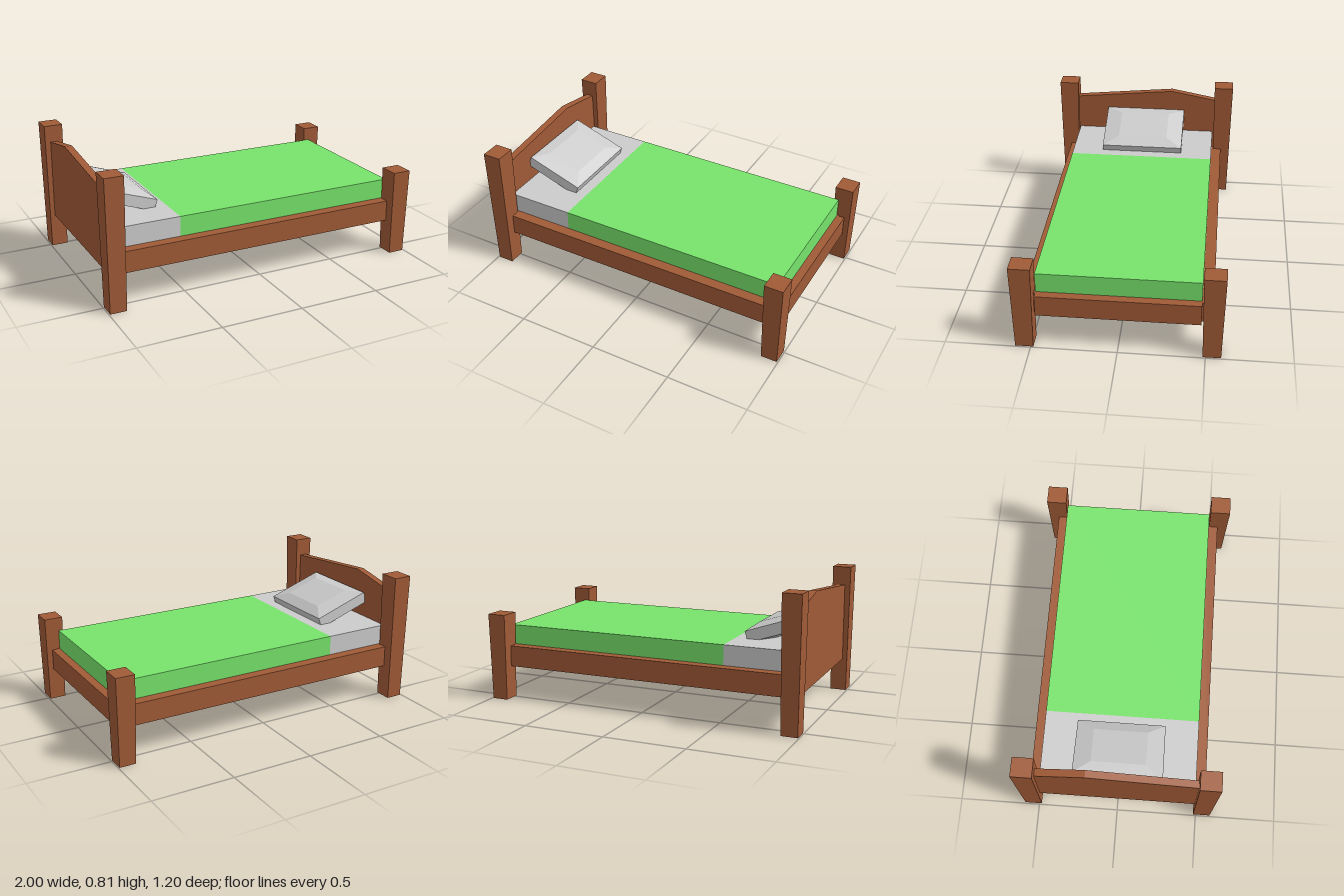
import * as THREE from 'three';

const material = (color) => new THREE.MeshStandardMaterial({ color, flatShading: true });

export function createModel() {
  const bed = new THREE.Group();
  bed.name = 'bed';
  const wood = material(0xa05a36);
  const blanketGreen = material(0x77e36b);
  const linen = material(0xcccccc);

  const add = (name, geometry, mat) => {
    const mesh = new THREE.Mesh(geometry, mat);
    mesh.name = name;
    bed.add(mesh);
    return mesh;
  };

  // Box given by its limits on each axis
  const addBox = (name, mat, [x0, x1], [y0, y1], [z0, z1]) => {
    const box = new THREE.BoxGeometry(x1 - x0, y1 - y0, z1 - z0);
    box.translate((x0 + x1) / 2, (y0 + y1) / 2, (z0 + z1) / 2);
    return add(name, box, mat);
  };

  // Scale x and z of every vertex by a rule depending on its height
  const reshape = (geometry, rule) => {
    const p = geometry.attributes.position;
    for (let i = 0; i < p.count; i++) {
      const [sx, y, sz] = rule(p.getY(i));
      p.setXYZ(i, p.getX(i) * sx, y, p.getZ(i) * sz);
    }
    geometry.computeVertexNormals();
    return geometry;
  };

  // Four posts, slightly narrower at the floor, taller at the head
  const addPost = (name, height, x, z) => {
    const post = new THREE.BoxGeometry(0.115, height, 0.125);
    post.translate(0, height / 2, 0);
    reshape(post, (y) => (y < 0.01 ? [0.87, y, 0.84] : [1, y, 1]));
    add(name, post, wood).position.set(x, 0, z);
  };
  for (const side of [-1, 1]) {
    const label = side > 0 ? 'Front' : 'Back';
    addPost('headPost' + label, 0.805, -0.9425, side * 0.5375);
    addPost('footPost' + label, 0.54, 0.9425, side * 0.5375);
    // Side rails between the posts
    const z = side > 0 ? [0.47, 0.535] : [-0.535, -0.47];
    addBox('sideRail' + label, wood, [-0.93, 0.93], [0.205, 0.335], z);
  }

  // Bed base, its right end forming the foot rail
  addBox('base', wood, [-0.92, 0.965], [0.205, 0.335], [-0.47, 0.47]);

  // Headboard with an off-centre peak, extruded along x
  const outline = new THREE.Shape([
    new THREE.Vector2(-0.49, 0.205),
    new THREE.Vector2(0.49, 0.205),
    new THREE.Vector2(0.49, 0.697),
    new THREE.Vector2(0.18, 0.755),
    new THREE.Vector2(-0.49, 0.69),
  ]);
  const headboard = new THREE.ExtrudeGeometry(outline, { depth: 0.045, bevelEnabled: false });
  headboard.rotateY(Math.PI / 2);
  add('headboard', headboard, wood).position.x = -0.965;

  // Mattress and the blanket over its lower part
  addBox('mattress', linen, [-0.92, -0.505], [0.335, 0.457], [-0.47, 0.47]);
  addBox('blanket', blanketGreen, [-0.505, 0.915], [0.335, 0.457], [-0.47, 0.47]);

  // Pillow: a straight rim with a bevelled panel above and below
  const pillow = reshape(new THREE.BoxGeometry(0.37, 0.3, 0.534, 1, 3, 1), (y) =>
    Math.abs(y) > 0.1 ? [0.61, Math.sign(y) * 0.058, 0.61] : [1, Math.sign(y) * 0.035, 1]
  );
  const pillowMesh = add('pillow', pillow, linen);
  pillowMesh.position.set(-0.746, 0.527, 0);
  pillowMesh.rotation.z = -0.33;

  return bed;
}
